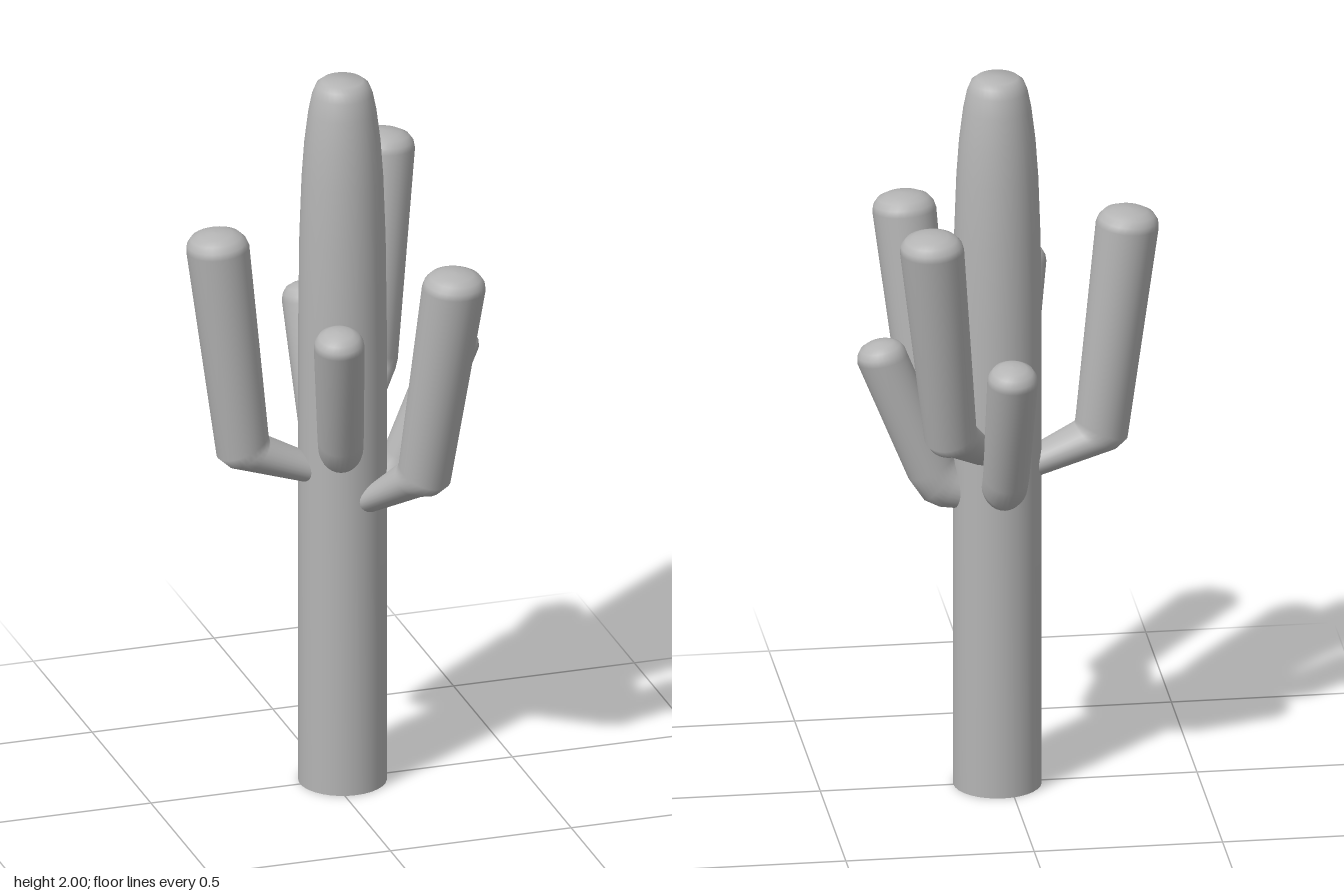
import * as THREE from 'three';
import { toCreasedNormals } from 'three/addons/utils/BufferGeometryUtils.js';

const SIDES = 28;

// Arm rings: outer radius/height, inner radius/height, half width
const LARGE = [
  [0.05, 0.845, 0.05, 0.93, 0.05],
  [0.11, 0.868, 0.11, 0.953, 0.054],
  [0.28, 0.924, 0.205, 1.005, 0.067],
  [0.315, 0.935, 0.207, 1.012, 0.068],
  [0.345, 0.962, 0.208, 1.02, 0.069],
  [0.428, 1.555, 0.262, 1.57, 0.085],
];
const SMALL = [
  [0.04, 0.775, 0.04, 0.865, 0.05],
  [0.09, 0.782, 0.08, 0.885, 0.054],
  [0.155, 0.79, 0.1, 0.905, 0.058],
  [0.195, 0.81, 0.11, 0.92, 0.06],
  [0.235, 0.87, 0.117, 0.93, 0.061],
  [0.37, 1.2, 0.238, 1.225, 0.067],
];
// Dome rings: scale of the tip ring, share of the dome height
const DOME = [[0.95, 0.35], [0.8, 0.68], [0.55, 0.88], [0.25, 0.98], [0.001, 1]];

function armGeometry(profile, lift, lean, steep) {
  const rings = profile.map(([or, oy, ir, iy, w], i) => {
    const dy = lift + (i < 2 ? -steep : i < 5 ? steep : 0);
    const shift = lean * Math.max(0, (iy - 0.93) / 0.64);
    return { r: (or + ir) / 2 + shift, y: (oy + iy) / 2 + dy, hr: (or - ir) / 2, hy: (oy - iy) / 2, w };
  });
  const tip = rings[rings.length - 1];
  for (const [s, h] of DOME) {
    rings.push({ r: tip.r + 0.008 * h, y: tip.y + 0.047 * h, hr: tip.hr * s, hy: tip.hy * s, w: tip.w * s });
  }
  const pos = [], index = [];
  rings.forEach((g, i) => {
    for (let j = 0; j < SIDES; j++) {
      const t = (j / SIDES) * Math.PI * 2, c = Math.cos(t);
      pos.push(g.r + c * g.hr, g.y + c * g.hy, Math.sin(t) * g.w);
      if (i < rings.length - 1) {
        const k = (j + 1) % SIDES, a = i * SIDES + j, b = i * SIDES + k;
        index.push(a, a + SIDES, b, b, a + SIDES, b + SIDES);
      }
    }
  });
  const geo = new THREE.BufferGeometry();
  geo.setAttribute('position', new THREE.Float32BufferAttribute(pos, 3));
  geo.setIndex(index);
  geo.computeVertexNormals();
  return geo;
}

export function createModel() {
  const model = new THREE.Group();
  model.name = 'cactus';
  const skin = new THREE.MeshStandardMaterial({ color: 0xb4b4b4 });
  skin.name = 'plain grey';

  // Trunk with a tapered, flat-topped crown
  const outline = [
    [0, 0], [0.117, 0], [0.117, 1.3], [0.114, 1.55], [0.108, 1.72], [0.101, 1.82],
    [0.09, 1.91], [0.08, 1.96], [0.07, 1.985], [0.055, 1.997], [0, 2],
  ].map(([x, y]) => new THREE.Vector2(x, y));
  const trunk = new THREE.Mesh(toCreasedNormals(new THREE.LatheGeometry(outline, 32), 0.7), skin);
  trunk.name = 'trunk';
  trunk.position.x = 0.03;
  model.add(trunk);

  // Arms: name, profile, direction x and z, lift, outward lean, stub steepness
  const arms = [
    ['rightArm', LARGE, -1, 0, 0, 0, 0],
    ['backLeftArm', LARGE, 0.22, -0.33, 0.085, 0.048, 0.015],
    ['frontLeftArm', LARGE, 0.205, 0.325, -0.055, 0.036, 0.018],
    ['leftSmallArm', SMALL, 0.31, 0.013, 0, 0, 0],
    ['backSmallArm', SMALL, 0, -1, 0.04, -0.008, 0],
    ['frontSmallArm', SMALL, -0.1, 0.28, 0.15, -0.006, 0],
  ];
  for (const [name, profile, dx, dz, lift, lean, steep] of arms) {
    const arm = new THREE.Mesh(armGeometry(profile, lift, lean, steep), skin);
    arm.name = name;
    arm.position.x = 0.03;
    arm.rotation.y = Math.atan2(-dz, dx);
    model.add(arm);
  }
  return model;
}
